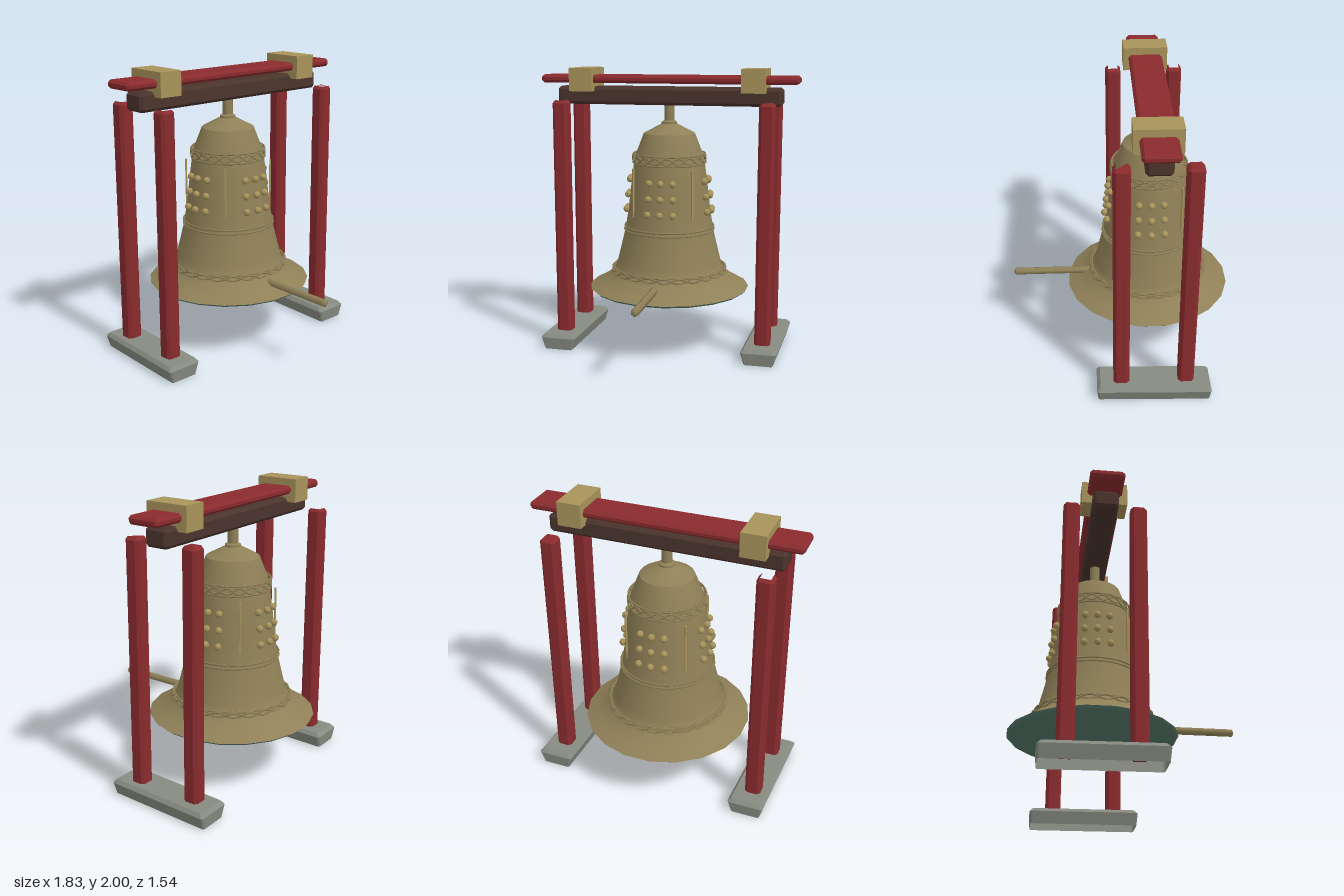
import * as THREE from 'three';
import { toCreasedNormals } from 'three/addons/utils/BufferGeometryUtils.js';

const mat = (name, color, side = THREE.FrontSide) => {
  const m = new THREE.MeshStandardMaterial({ color, side });
  m.name = name;
  return m;
};

// Stack of cut-cornered rectangles [halfX, halfZ, cut, y]; top and bottom give the share of each cap
function loft(rings, top = 1, bottom = 1) {
  const loops = rings.map(([x, z, c, y]) => [
    [x, z - c], [x, c - z], [x - c, -z], [c - x, -z],
    [-x, c - z], [-x, z - c], [c - x, z], [x - c, z],
  ].map(([px, pz]) => [px, y, pz]));
  const pos = [];
  const tri = (a, b, c) => pos.push(...a, ...b, ...c);
  for (let k = 0; k < loops.length - 1; k++) {
    const a = loops[k], b = loops[k + 1];
    for (let i = 0; i < 8; i++) {
      const j = (i + 1) % 8;
      tri(a[i], a[j], b[j]);
      tri(a[i], b[j], b[i]);
    }
  }
  const low = loops[0], high = loops[loops.length - 1];
  for (let i = 1; i <= 6 * top; i++) tri(high[0], high[i], high[i + 1]);
  for (let i = 1; i <= 6 * bottom; i++) tri(low[0], low[i + 1], low[i]);
  const g = new THREE.BufferGeometry();
  g.setAttribute('position', new THREE.Float32BufferAttribute(pos, 3));
  g.computeVertexNormals();
  return g;
}

export function createModel() {
  const bronze = mat('bronze', 0x8f8057);
  const gold = mat('gold', 0xa8935a);
  const red = mat('red lacquer', 0x8a2b2e);
  const wood = mat('dark wood', 0x4a342c);
  const stone = mat('stone', 0x868a80, THREE.DoubleSide);
  const green = mat('verdigris', 0x56796a);

  const model = new THREE.Group();
  model.name = 'templeBell';
  const add = (parent, name, geo, material, x = 0, y = 0, z = 0) => {
    const m = new THREE.Mesh(geo, material);
    m.name = name;
    m.position.set(x, y, z);
    parent.add(m);
    return m;
  };
  const Z = -0.2;

  // Stone footings, a little askew and open underneath
  for (const s of [-1, 1]) {
    const g = loft([[0.1, 0.38, 0.01, 0], [0.125, 0.388, 0.012, 0.085], [0.105, 0.365, 0.01, 0.11]], 1, 0);
    const p = g.attributes.position;
    for (let i = 0; i < p.count; i++) p.setX(i, p.getX(i) - 0.033 * p.getZ(i));
    g.computeVertexNormals();
    add(model, 'footing', g, stone, s * 0.722, 0, Z);
  }

  // Posts with chamfered tops; some end faces are open
  for (const [x, z, cap] of [[-0.725, 0.02, 0], [0.72, 0.02, 0.5], [-0.725, -0.42, 0], [0.72, -0.42, 1]]) {
    add(model, 'post', loft([
      [0.035, 0.035, 0, 0.04], [0.054, 0.054, 0.02, 0.06],
      [0.054, 0.054, 0.02, 1.76], [0.035, 0.035, 0, 1.78],
    ], cap), red, x, 0, z);
  }

  // Lengthwise timbers, built upright and laid along x
  const timber = (name, half, hy, hz, c, material, y) => {
    const g = loft([
      [hy - c, hz - c, 0, -half], [hy, hz, c, c - half],
      [hy, hz, c, half - c], [hy - c, hz - c, 0, half],
    ]);
    add(model, name, g.rotateZ(Math.PI / 2), material, 0, y, Z);
  };
  timber('crossbeam', 0.8, 0.063, 0.085, 0.02, wood, 1.807);
  timber('topPlank', 0.915, 0.028, 0.115, 0.018, red, 1.923);

  // Clamps around the top plank
  for (const s of [-1, 1]) add(model, 'clamp', new THREE.BoxGeometry(0.165, 0.163, 0.305), gold, s * 0.61, 1.919, Z);

  // Bell
  const bell = new THREE.Group();
  bell.name = 'bell';
  bell.position.z = Z;
  model.add(bell);
  const lathe = (pts) => toCreasedNormals(new THREE.LatheGeometry(
    pts.map(([r, y]) => new THREE.Vector2(r, y)), 20, Math.PI / 20).toNonIndexed(), 0.6);
  const profile = [
    [0.577, 0.435], [0.5, 0.475], [0.435, 0.52], [0.392, 0.57], [0.375, 0.62], [0.345, 0.74],
    [0.317, 0.86], [0.295, 1.0], [0.272, 1.2], [0.25, 1.36], [0.235, 1.41], [0.182, 1.545],
    [0.055, 1.612], [0.055, 1.625], [0.036, 1.635], [0.036, 1.76],
  ];
  add(bell, 'bellBody', lathe(profile), bronze);
  add(bell, 'bellMouth', lathe([[0, 0.42], [0.56, 0.42], [0.577, 0.435]]), green);
  const radiusAt = (y) => {
    const i = profile.findIndex((p) => p[1] > y);
    const [r0, y0] = profile[i - 1], [r1, y1] = profile[i];
    return r0 + (r1 - r0) * (y - y0) / (y1 - y0);
  };

  // Raised rings around the bell
  for (const [r, y] of [[0.256, 1.4], [0.258, 1.335], [0.32, 0.88], [0.322, 0.855], [0.402, 0.58]]) {
    add(bell, 'ring', new THREE.TorusGeometry(r, 0.007, 5, 40).rotateX(Math.PI / 2), bronze, 0, y, 0);
  }

  // Braided strands: two mirrored waves for each band
  for (const [r, y, amp, waves] of [[0.259, 1.368, 0.022, 10], [0.41, 0.562, 0.016, 12]]) {
    for (const s of [-1, 1]) {
      const pts = [];
      for (let i = 0; i < waves * 8; i++) {
        const a = (i / (waves * 8)) * Math.PI * 2;
        const w = s * amp * Math.sin(a * waves);
        pts.push(new THREE.Vector3(r * Math.sin(a), y + w, r * Math.cos(a)));
      }
      const curve = new THREE.CatmullRomCurve3(pts, true);
      add(bell, 'braid', new THREE.TubeGeometry(curve, waves * 12, 0.007, 5, true), bronze);
    }
  }

  // Bosses in three rows on each side, with upright ribs between
  const bossGeo = new THREE.SphereGeometry(0.025, 8, 6);
  for (let side = 0; side < 4; side++) {
    const a0 = side * Math.PI / 2;
    for (const y of [1.0, 1.108, 1.217]) {
      for (const k of [-1, 0, 1]) {
        const a = a0 + k * 0.3, r = radiusAt(y) + 0.012;
        add(bell, 'boss', bossGeo, gold, r * Math.sin(a), y, r * Math.cos(a));
      }
    }
    const d = a0 + Math.PI / 4;
    const rib = add(bell, 'rib', new THREE.BoxGeometry(0.012, 0.35, 0.012), gold,
      0.298 * Math.sin(d), 1.135, 0.298 * Math.cos(d));
    rib.rotation.y = d;
  }

  // Striker pole pointing at the bell's lip
  add(model, 'striker', new THREE.CylinderGeometry(0.027, 0.027, 0.55, 6).rotateX(Math.PI / 2), bronze, -0.003, 0.505, 0.48);
  add(model, 'strikerTip', new THREE.CylinderGeometry(0.012, 0.027, 0.012, 6).rotateX(Math.PI / 2), bronze, -0.003, 0.505, 0.761);
  return model;
}
